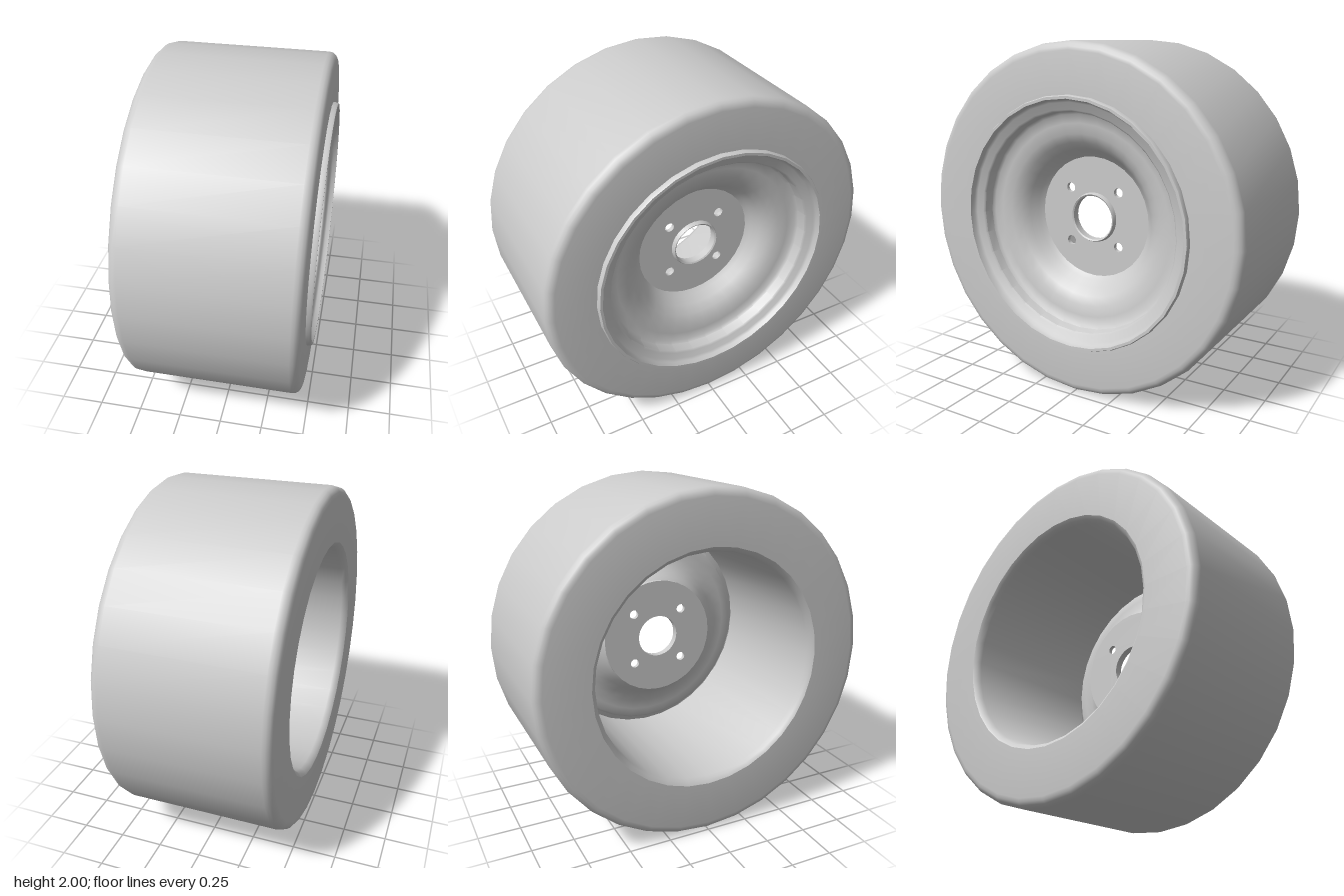
import * as THREE from 'three';
import { toCreasedNormals } from 'three/addons/utils/BufferGeometryUtils.js';

const SEGMENTS = 32;
const material = new THREE.MeshStandardMaterial({ color: 0xcccccc });
const sheetMaterial = new THREE.MeshStandardMaterial({ color: 0xcccccc, side: THREE.DoubleSide });

// Turns a profile of [radius, x] pairs around the wheel's axle (the x axis).
function turned(name, profile, mat = material, crease = 0.6) {
  const points = profile.map(([r, x]) => new THREE.Vector2(r, x));
  const geometry = new THREE.LatheGeometry(points, SEGMENTS);
  geometry.rotateZ(-Math.PI / 2);
  const mesh = new THREE.Mesh(toCreasedNormals(geometry, crease), mat);
  mesh.name = name;
  return mesh;
}

// Quarter-round corner points between two angles.
function corner(r, x, radius, from, to, steps = 4) {
  return Array.from({ length: steps + 1 }, (_, i) => {
    const a = from + ((to - from) * i) / steps;
    return [r + radius * Math.cos(a), x + radius * Math.sin(a)];
  });
}

function circlePath(x, y, radius) {
  const path = new THREE.Path();
  path.absarc(x, y, radius, 0, Math.PI * 2, true);
  return path;
}

export function createModel() {
  const wheel = new THREE.Group();
  wheel.name = 'wheel';

  // Tyre: rounded shoulders, flat sidewalls and an open inner barrel
  wheel.add(turned('tyre', [
    [0.66, 0.42],
    [0.66, -0.46],
    [0.67, -0.485],
    [0.69, -0.5],
    ...corner(0.95, -0.45, 0.05, -Math.PI / 2, 0),
    ...corner(0.95, 0.42, 0.05, 0, Math.PI / 2),
    [0.70, 0.47],
    [0.66, 0.42],
  ]));

  // Rim: raised flange, stepped bead seat and deep dish down to the hub
  wheel.add(turned('rimDish', [
    [0.72, 0.46],
    [0.72, 0.49],
    [0.715, 0.5],
    [0.70, 0.5],
    [0.692, 0.475],
    [0.68, 0.462],
    [0.64, 0.455],
    [0.63, 0.445],
    [0.625, 0.39],
    [0.61, 0.375],
    [0.56, 0.37],
    [0.50, 0.36],
    [0.45, 0.335],
    [0.41, 0.295],
    [0.38, 0.25],
    [0.355, 0.225],
  ], sheetMaterial, 0.7));

  // Hub plate with centre bore and four bolt holes
  const plate = new THREE.Shape();
  plate.absarc(0, 0, 0.357, 0, Math.PI * 2, false);
  plate.holes.push(circlePath(0, 0, 0.135));
  for (const sx of [-1, 1]) {
    for (const sy of [-1, 1]) plate.holes.push(circlePath(0.16 * sx, 0.16 * sy, 0.028));
  }
  const plateGeometry = new THREE.ExtrudeGeometry(plate, {
    depth: 0.025, bevelEnabled: false, curveSegments: SEGMENTS / 2,
  });
  plateGeometry.rotateY(Math.PI / 2).translate(0.2, 0, 0);
  const hubPlate = new THREE.Mesh(toCreasedNormals(plateGeometry, 0.6), material);
  hubPlate.name = 'hubPlate';
  wheel.add(hubPlate);

  // Raised lip around the centre bore
  wheel.add(turned('boreLip', [
    [0.13, 0.245],
    [0.13, 0.2],
    [0.15, 0.2],
    [0.145, 0.235],
    [0.138, 0.25],
    [0.13, 0.245],
  ]));

  wheel.position.y = 1;
  const model = new THREE.Group();
  model.name = 'wheelAssembly';
  model.add(wheel);
  return model;
}
